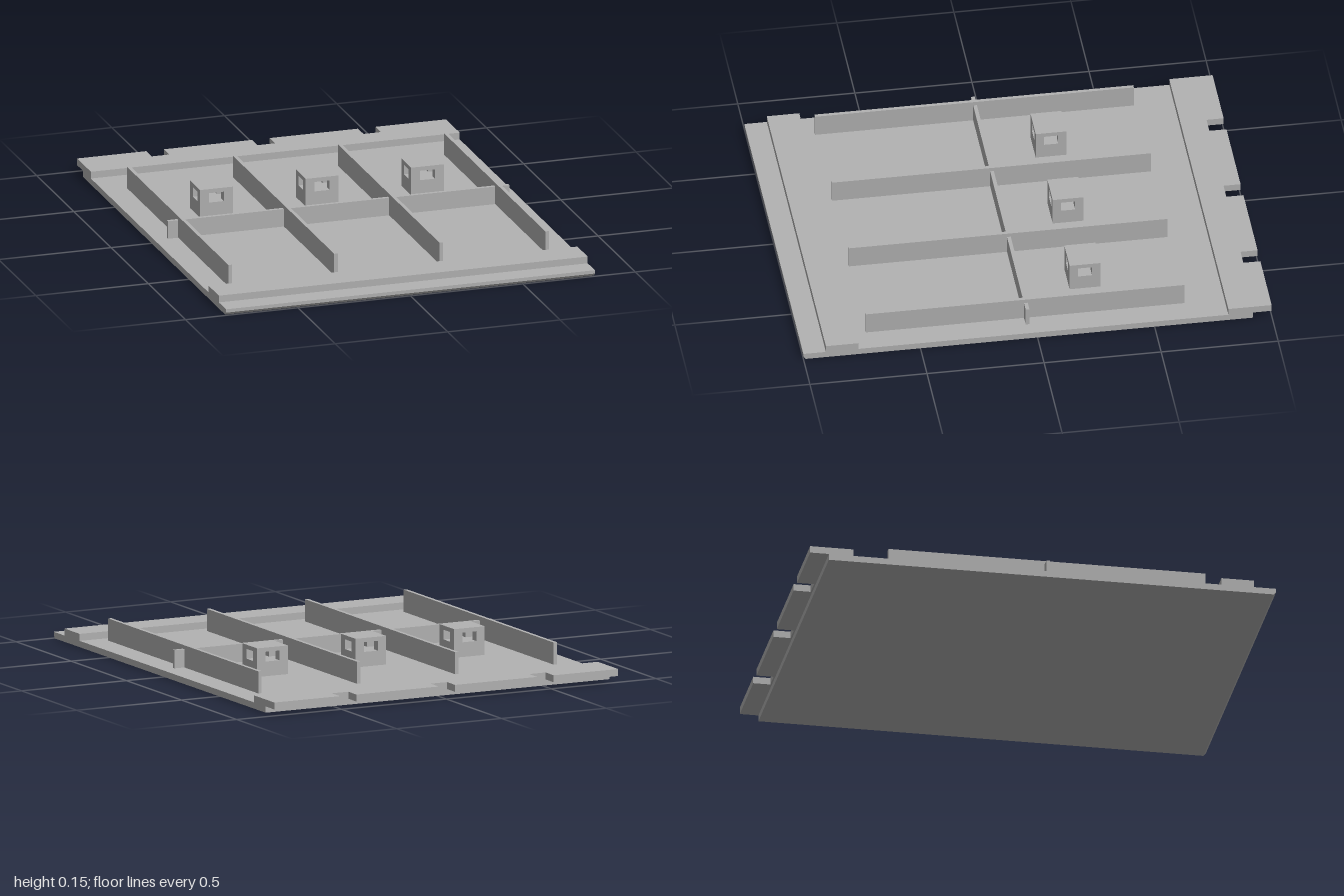
import * as THREE from 'three';

export function createModel() {
  const model = new THREE.Group();
  model.name = 'ribbedPanel';
  const grey = new THREE.MeshStandardMaterial({ color: 0xb2b2b2 });
  grey.name = 'grey';

  const W = 0.82;        // half width of the panel
  const FLOOR = 0.027;   // top of the base plate
  const STRIP = 0.057;   // top of the raised strips

  // Box given by its extents on each axis
  const box = (name, x0, x1, y0, y1, z0, z1, parent = model) => {
    const mesh = new THREE.Mesh(new THREE.BoxGeometry(x1 - x0, y1 - y0, z1 - z0), grey);
    mesh.position.set((x0 + x1) / 2, (y0 + y1) / 2, (z0 + z1) / 2);
    mesh.name = name;
    parent.add(mesh);
    return mesh;
  };

  // Base plate: side profile with a small chamfer under the front edge
  const profile = new THREE.Shape([
    [-0.92, 0], [0.99, 0], [1, 0.012], [1, FLOOR], [-0.92, FLOOR],
  ].map(([z, y]) => new THREE.Vector2(-z, y)));
  const plateGeometry = new THREE.ExtrudeGeometry(profile, { depth: 2 * W, bevelEnabled: false });
  plateGeometry.rotateY(Math.PI / 2).translate(-W, 0, 0);
  const plate = new THREE.Mesh(plateGeometry, grey);
  plate.name = 'basePlate';
  model.add(plate);

  // Raised strip near the front
  box('frontStrip', -W, W, FLOOR, STRIP, 0.765, 0.904);

  // Rear strip overhanging the plate, with three notches in its edge
  const outline = [[-W, 0.815], [-W, 1]];
  for (const x of [-0.473, -0.003, 0.468]) {
    outline.push([x - 0.039, 1], [x - 0.039, 0.927], [x + 0.039, 0.927], [x + 0.039, 1]);
  }
  outline.push([W, 1], [W, 0.815]);
  const rearShape = new THREE.Shape(outline.map(([x, z]) => new THREE.Vector2(x, z)));
  const rearGeometry = new THREE.ExtrudeGeometry(rearShape, { depth: STRIP - FLOOR, bevelEnabled: false });
  rearGeometry.rotateX(-Math.PI / 2).translate(0, FLOOR, 0);
  const rearStrip = new THREE.Mesh(rearGeometry, grey);
  rearStrip.name = 'rearStrip';
  model.add(rearStrip);

  // Four long ribs and one cross rib
  for (const x of [-0.707, -0.237, 0.231, 0.702]) {
    box('longRib', x - 0.008, x + 0.008, FLOOR, 0.122, -0.645, 0.716);
  }
  box('crossRib', -0.76, 0.757, FLOOR, 0.105, 0.025, 0.041);

  // Lifting blocks, pierced by tunnels along both x and z
  for (const x of [-0.472, -0.002, 0.467]) {
    const block = new THREE.Group();
    block.name = 'liftingBlock';
    block.position.set(x, 0, -0.246);
    const hx = 0.073, hz = 0.066, low = 0.09, high = 0.132;
    box('blockBase', -hx, hx, FLOOR, low, -hz, hz, block);
    box('blockTop', -hx, hx, high, 0.15, -hz, hz, block);
    for (const sx of [-1, 1]) for (const sz of [-1, 1]) {
      const px = sx * 0.053, pz = sz * 0.048;
      box('blockPost', px - 0.02, px + 0.02, low, high, pz - 0.018, pz + 0.018, block);
    }
    model.add(block);
  }
  return model;
}
